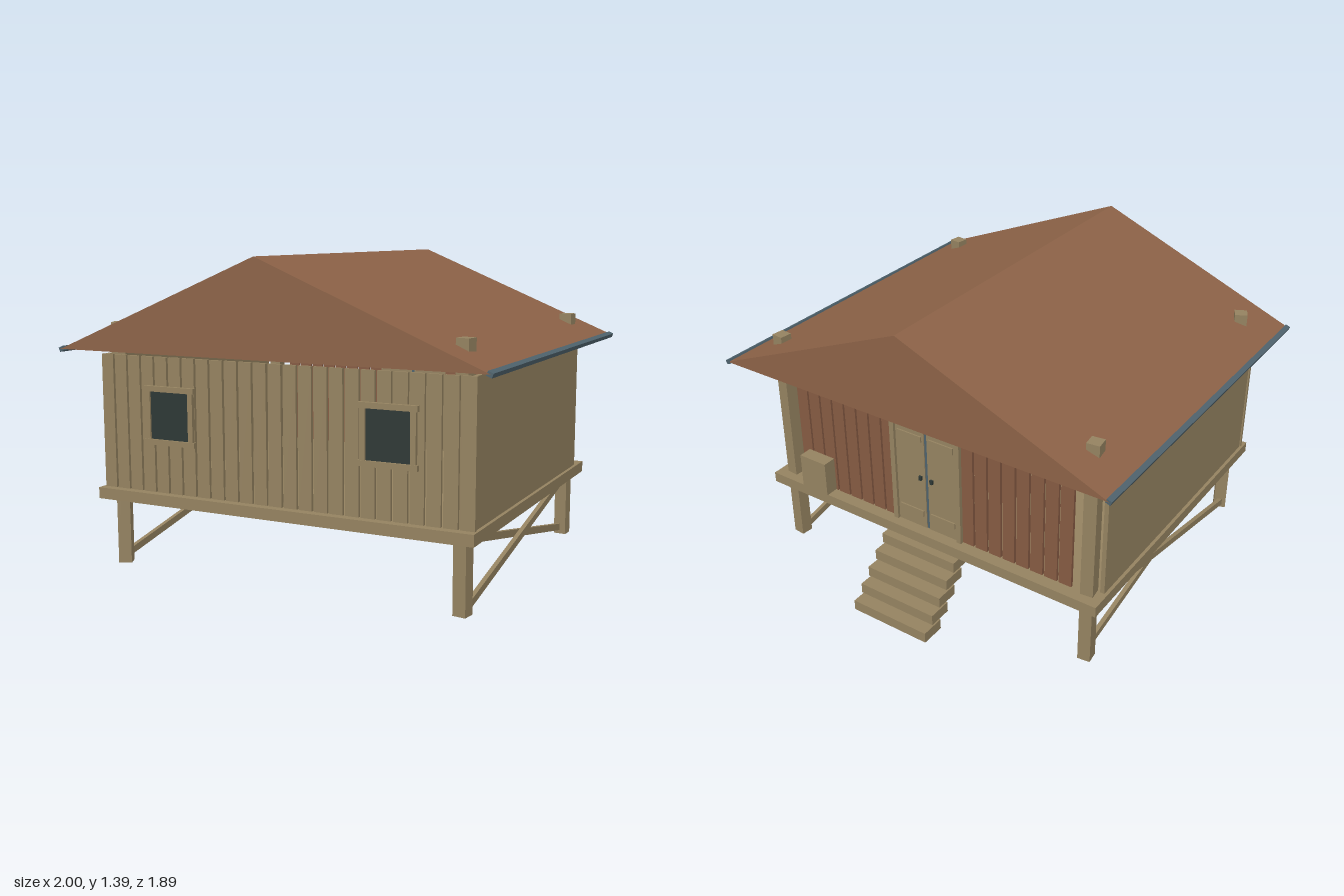
import * as THREE from 'three';

const mat = (name, color, side = THREE.FrontSide) => {
  const m = new THREE.MeshStandardMaterial({ color, side });
  m.name = name;
  return m;
};

export function createModel() {
  const wood = mat('weathered wood', 0x948260);
  const roofBrown = mat('roof brown', 0x8c6247, THREE.DoubleSide);
  const plankBrown = mat('brown plank', 0x855a42);
  const slate = mat('slate trim', 0x4e626c);
  const glass = mat('dark glass', 0x2d3735);
  const model = new THREE.Group();
  model.name = 'stiltCabin';

  const group = (name, parent = model) => {
    const g = new THREE.Group();
    g.name = name;
    parent.add(g);
    return g;
  };
  const box = (name, parent, m, w, h, d, x, y, z) => {
    const mesh = new THREE.Mesh(new THREE.BoxGeometry(w, h, d), m);
    mesh.name = name;
    mesh.position.set(x, y, z);
    parent.add(mesh);
    return mesh;
  };

  // Floor deck
  box('floor', model, wood, 1.79, 0.05, 1.525, 0, 0.33, 0.0725);

  // Corner posts run from the ground up through the roof
  const posts = group('posts');
  [[-0.82, -0.615, 0.12], [0.82, -0.615, -0.1], [-0.82, 0.75, 0.45], [0.82, 0.75, -0.15]].forEach(([x, z, turn]) => {
    box('post', posts, wood, 0.058, 1.095, 0.058, x, 0.5475, z).rotation.y = turn;
  });

  // Crossed braces between the posts on each side
  const braces = group('braces');
  const length = Math.hypot(1.34, 0.27);
  for (const side of [-1, 1]) {
    for (const dir of [-1, 1]) {
      const b = box('brace', braces, wood, 0.02, 0.032, length, side * (0.82 + dir * 0.012), 0.165, 0.068);
      b.rotation.x = dir * Math.atan2(0.27, 1.34);
    }
  }

  // Side walls
  for (const side of [-1, 1]) box('sideWall', model, wood, 0.02, 0.6, 1.37, side * 0.87, 0.655, 0.093);

  // Spaced planks of the front and back walls
  const frontWall = group('frontWall');
  const backWall = group('backWall');
  const pitch = 0.0712;
  for (let k = -12; k <= 12; k++) {
    box('frontPlank', frontWall, wood, 0.061, 0.6, 0.014, k * pitch, 0.655, 0.79);
    if (Math.abs(k) > 2 && Math.abs(k) < 11)
      box('backPlank', backWall, plankBrown, 0.061, 0.6, 0.014, k * pitch, 0.655, -0.625);
  }

  // Front windows with overlapping frame bars
  for (const side of [-1, 1]) {
    const win = group('window');
    win.position.set(side * 0.52, 0.7, 0.8);
    box('windowPane', win, glass, 0.22, 0.23, 0.008, 0, 0, 0.001);
    for (const s of [-1, 1]) {
      box('frameRail', win, wood, 0.26, 0.024, 0.022, 0, s * 0.117, 0.005);
      box('frameStile', win, wood, 0.024, 0.25, 0.018, s * 0.11, 0, 0.004);
    }
  }

  // Double door with ledges, frame and knobs
  const door = group('door');
  box('doorGap', door, slate, 0.03, 0.53, 0.008, 0, 0.62, -0.629);
  for (const s of [-1, 1]) {
    box('doorLeaf', door, wood, 0.155, 0.53, 0.014, s * 0.085, 0.62, -0.63);
    box('doorJamb', door, wood, 0.024, 0.55, 0.03, s * 0.175, 0.63, -0.635);
    for (const y of [0.43, 0.82]) box('doorLedge', door, wood, 0.13, 0.03, 0.008, s * 0.085, y, -0.64);
    box('doorKnob', door, glass, 0.014, 0.02, 0.012, s * 0.03, 0.62, -0.642);
  }
  box('doorLintel', door, wood, 0.36, 0.022, 0.03, 0, 0.9, -0.635);

  // Small crate beside the door
  box('crate', model, wood, 0.15, 0.17, 0.065, 0.62, 0.448, -0.67);

  // Steps up to the door
  const steps = group('steps');
  for (let i = 0; i < 5; i++) box('step', steps, wood, 0.4, 0.05, 0.113, 0, 0.035 + i * 0.06, -0.888 + i * 0.055);

  // Hollow gabled roof
  const [w, eave, ridge, back, front] = [0.99, 0.985, 1.395, -0.803, 0.943];
  const F = [[-w, eave, front], [w, eave, front], [0, ridge, front]];
  const B = F.map(([x, y]) => [x, y, back]);
  const corners = [
    F[0], F[1], F[2], B[1], B[0], B[2],
    F[1], B[1], B[2], F[1], B[2], F[2],
    B[0], F[0], F[2], B[0], F[2], B[2],
  ];
  const roofGeo = new THREE.BufferGeometry();
  roofGeo.setAttribute('position', new THREE.Float32BufferAttribute(corners.flat(), 3));
  roofGeo.computeVertexNormals();
  const roof = new THREE.Mesh(roofGeo, roofBrown);
  roof.name = 'roof';
  model.add(roof);

  // Slate edging along the eaves
  for (const side of [-1, 1]) {
    const edge = box('eaveEdge', model, slate, 0.024, 0.02, front - back, side * 0.986, 0.985, (front + back) / 2);
    edge.rotation.z = -side * 0.39;
  }
  return model;
}
